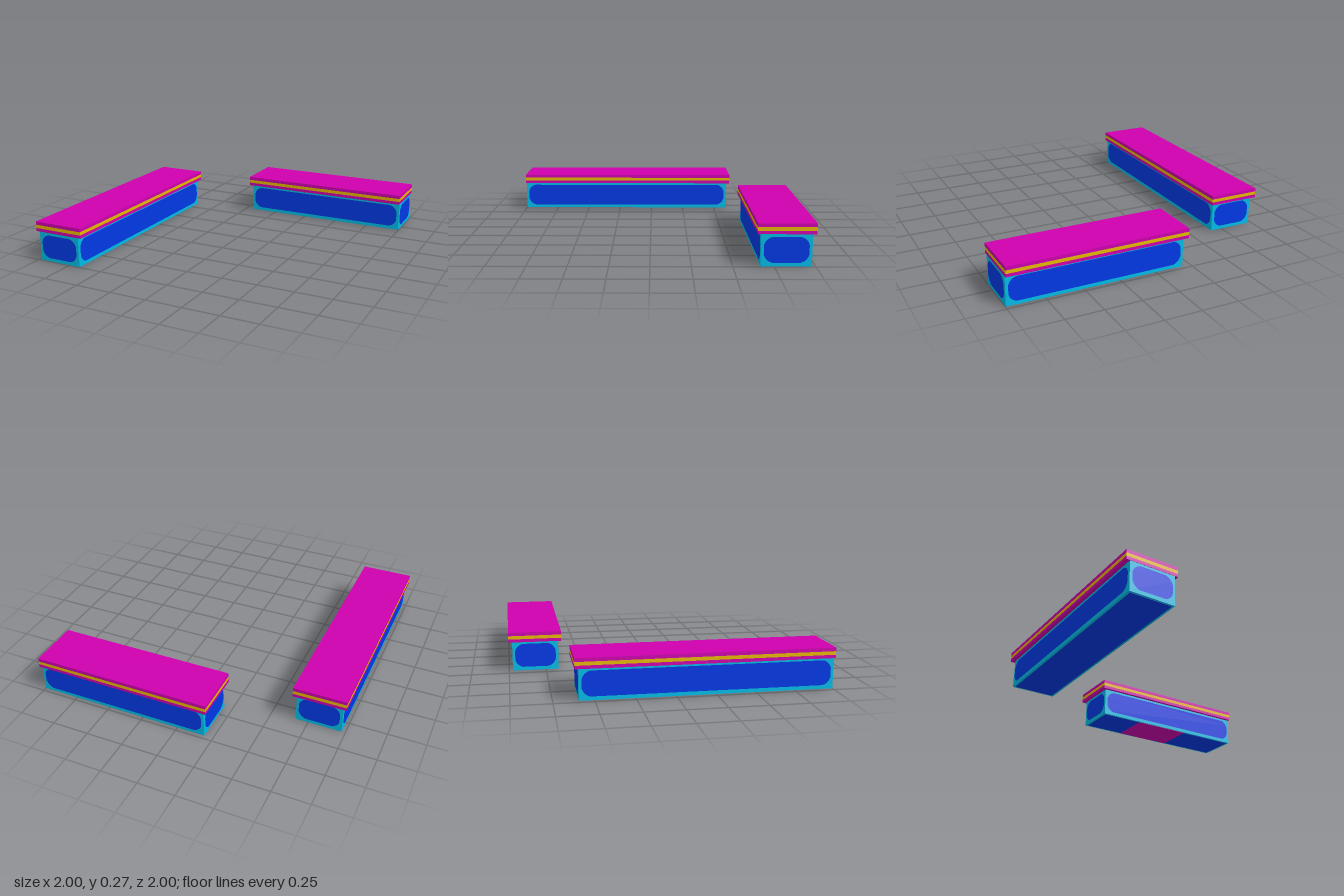
import * as THREE from 'three';

const mat = (name, color) => Object.assign(new THREE.MeshStandardMaterial({ color }), { name });

// Flat panel with cut corners, centred on its origin and facing +z
function panelGeometry(w, h) {
  const x = w / 2, y = h / 2, r = 0.05, k = r * 0.22;
  const s = new THREE.Shape();
  s.moveTo(-x + r, -y);
  s.lineTo(x - r, -y);
  s.quadraticCurveTo(x - k, -y + k, x, -y + r);
  s.lineTo(x, y - r);
  s.quadraticCurveTo(x - k, y - k, x - r, y);
  s.lineTo(-x + r, y);
  s.quadraticCurveTo(-x + k, y - k, -x, y - r);
  s.lineTo(-x, -y + r);
  s.quadraticCurveTo(-x + k, -y + k, -x + r, -y);
  return new THREE.ShapeGeometry(s, 4);
}

export function createModel() {
  const magenta = mat('magenta', 0xce00ae);
  const gold = mat('gold', 0xe6b800);
  const teal = mat('teal', 0x00bce6);
  const blue = mat('blue', 0x0038e6);
  const model = new THREE.Group();
  model.name = 'counters';

  const add = (group, name, geometry, material, x, y, z) => {
    const mesh = new THREE.Mesh(geometry, material);
    mesh.name = name;
    mesh.position.set(x, y, z);
    group.add(mesh);
    return mesh;
  };

  // Box from x, y and z ranges
  const addBox = (group, name, material, [x0, x1], [y0, y1], [z0, z1]) =>
    add(group, name, new THREE.BoxGeometry(x1 - x0, y1 - y0, z1 - z0), material,
      (x0 + x1) / 2, (y0 + y1) / 2, (z0 + z1) / 2);

  // One counter: body, four side panels, base plate and a layered top
  function addCounter(name, bodyX, bodyZ, topX, topZ) {
    const g = new THREE.Group();
    g.name = name;
    model.add(g);
    addBox(g, 'body', teal, bodyX, [0.002, 0.205], bodyZ);

    const w = bodyX[1] - bodyX[0], d = bodyZ[1] - bodyZ[0];
    const cx = (bodyX[0] + bodyX[1]) / 2, cz = (bodyZ[0] + bodyZ[1]) / 2;
    for (let i = 0; i < 4; i++) {
      const angle = i * Math.PI / 2;
      const [width, reach] = i % 2 ? [d, w / 2] : [w, d / 2];
      const panel = add(g, 'sidePanel', panelGeometry(width - 0.036, 0.16), blue,
        cx + Math.sin(angle) * (reach + 0.002), 0.106, cz + Math.cos(angle) * (reach + 0.002));
      panel.rotation.y = angle;
    }
    addBox(g, 'basePlate', blue, [bodyX[0] + 0.014, bodyX[1] - 0.014], [0.001, 0.004],
      [bodyZ[0] + 0.014, bodyZ[1] - 0.014]);

    // Countertop layers
    addBox(g, 'lowerTop', magenta, topX, [0.203, 0.224], topZ);
    addBox(g, 'trimStripe', gold, topX, [0.224, 0.247], topZ);
    addBox(g, 'upperTop', magenta, topX, [0.247, 0.27], topZ);
    return g;
  }

  addCounter('longCounter', [-0.975, -0.665], [-0.595, 0.998], [-1, -0.645], [-0.62, 1]);
  const short = addCounter('shortCounter', [-0.19, 0.998], [-0.975, -0.665], [-0.215, 1], [-1, -0.645]);

  // Coloured patch under the short counter
  addBox(short, 'basePatch', magenta, [0.125, 0.55], [0, 0.003], [-0.967, -0.673]);

  return model;
}
